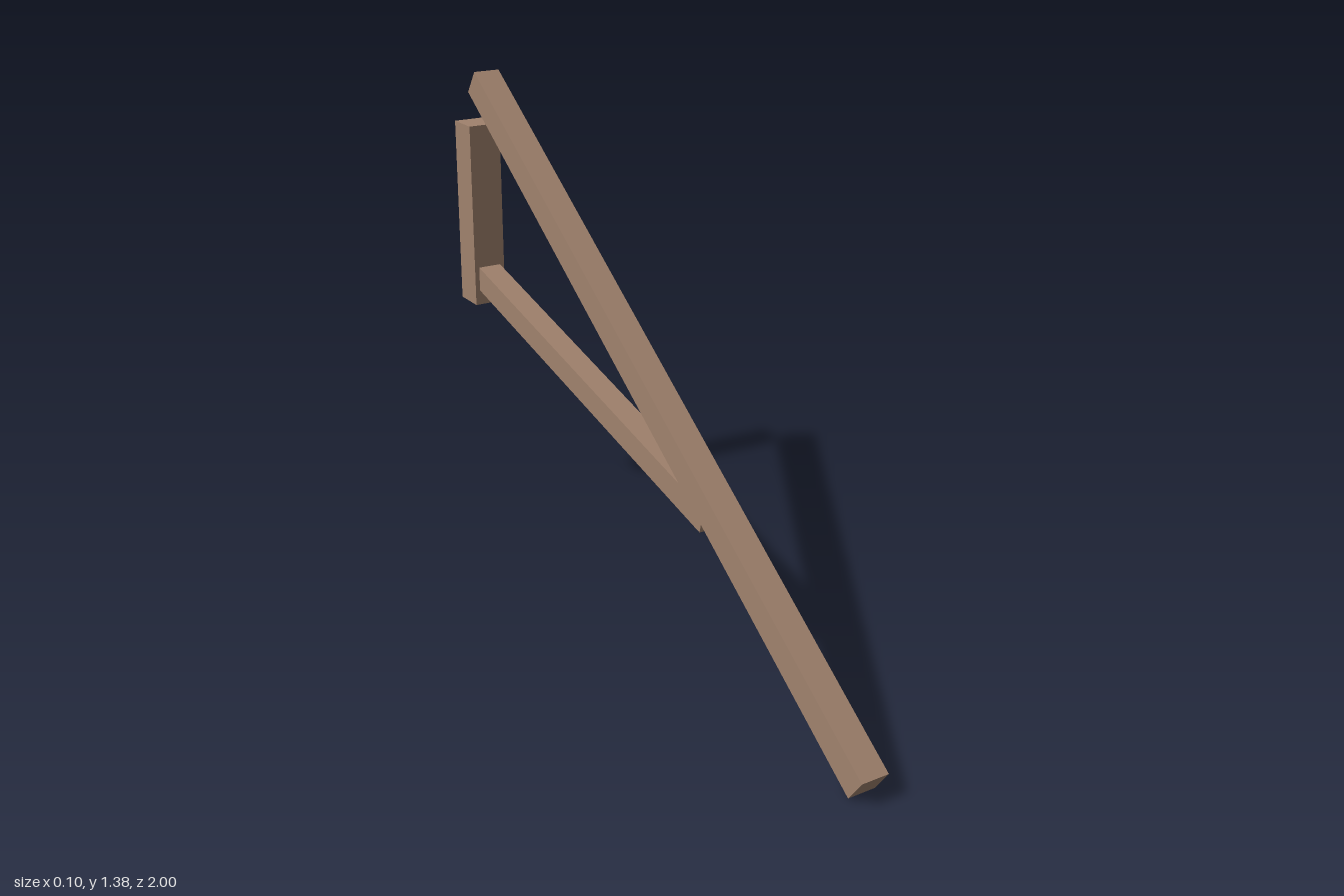
import * as THREE from 'three';

export function createModel() {
  const model = new THREE.Group();
  model.name = 'timberBracket';

  const wood = new THREE.MeshStandardMaterial({ color: 0xa0826d });
  wood.name = 'wood';

  // Square-cut timber running between two [z, y] points in the x = 0 plane
  function timber(name, [z0, y0], [z1, y1], width, depth) {
    const length = Math.hypot(z1 - z0, y1 - y0);
    const mesh = new THREE.Mesh(new THREE.BoxGeometry(width, depth, length), wood);
    mesh.name = name;
    mesh.position.set(0, (y0 + y1) / 2, (z0 + z1) / 2);
    mesh.rotation.x = Math.atan2(y1 - y0, z0 - z1);
    model.add(mesh);
  }

  // Long sloping beam
  timber('rafter', [0.977, 0.033], [-0.899, 1.35], 0.078, 0.08);
  // Strut from the post to the underside of the beam
  timber('brace', [0.328, 0.444], [-0.914, 0.754], 0.07, 0.07);
  // Upright at the back
  timber('post', [-0.95, 0.67], [-0.95, 1.22], 0.098, 0.098);

  return model;
}
